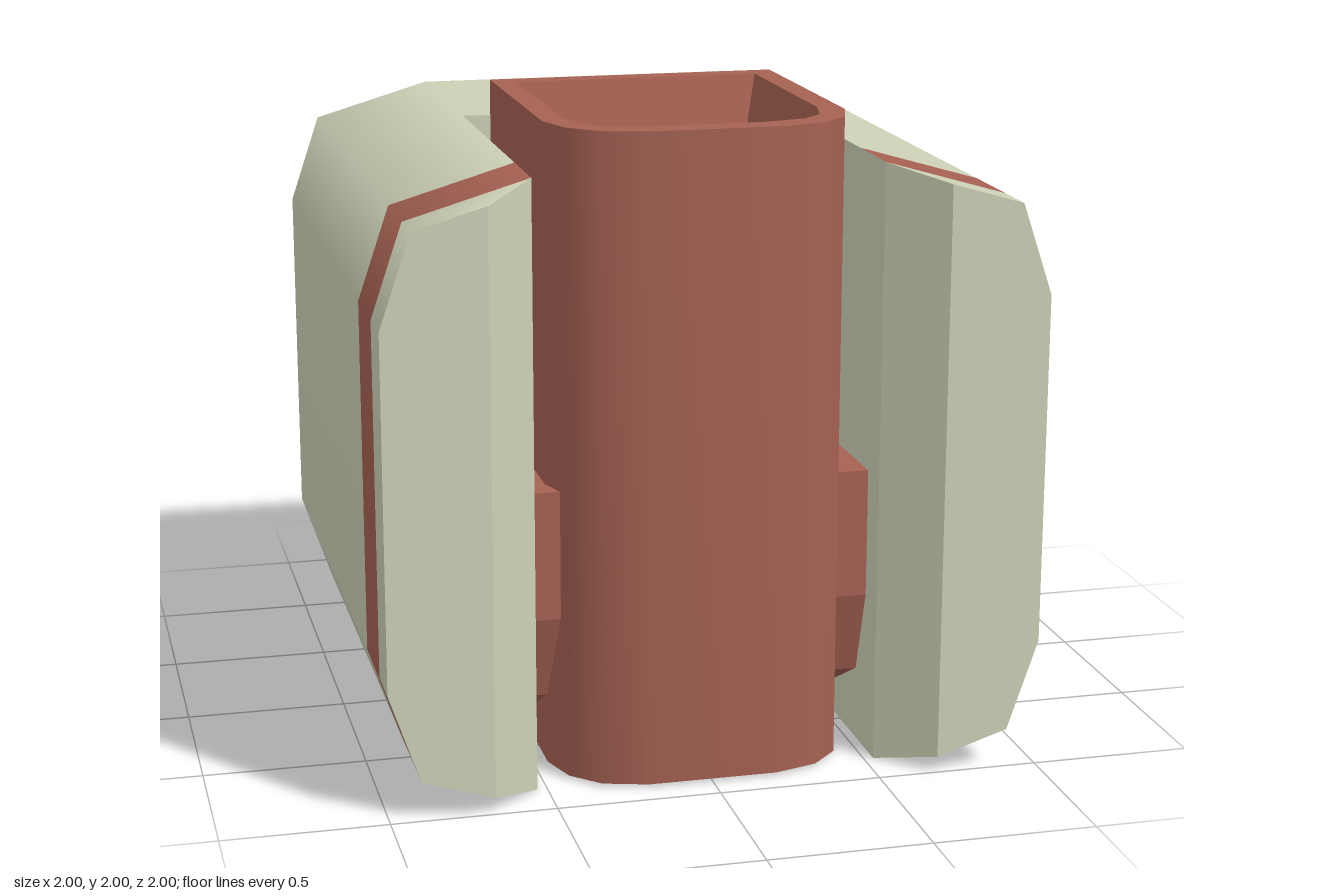
import * as THREE from 'three';
import { toCreasedNormals } from 'three/addons/utils/BufferGeometryUtils.js';

const paleGreen = new THREE.MeshStandardMaterial({ name: 'pale green', color: 0xcdd1b6 });
const brickRed = new THREE.MeshStandardMaterial({ name: 'brick red', color: 0xa56152 });

const SLOT = 0.53, SLOT_BACK = -0.26, CHAMFER_Z = 0.845, CHAMFER_X = 0.685;

function part(name, geometry, material, parent) {
  const mesh = new THREE.Mesh(geometry, material);
  mesh.name = name;
  parent.add(mesh);
  return mesh;
}

// Skin between successive rings of [x, y, z] points
function loft(rings, closed, normals) {
  const n = rings[0].length, index = [];
  for (let r = 0; r < rings.length - 1; r++) {
    for (let i = 0; i < (closed ? n : n - 1); i++) {
      const j = (i + 1) % n, a = r * n + i, b = r * n + j, c = a + n, d = b + n;
      index.push(a, c, d, a, d, b);
    }
  }
  const g = new THREE.BufferGeometry();
  g.setAttribute('position', new THREE.Float32BufferAttribute(rings.flat(2), 3));
  g.setIndex(index);
  if (normals) g.setAttribute('normal', new THREE.Float32BufferAttribute(rings.map(() => normals).flat(2), 3));
  else g.computeVertexNormals();
  return g;
}

const face = pts => new THREE.ShapeGeometry(new THREE.Shape(pts.map(p => new THREE.Vector2(p[0], p[1]))));
const atZ = (pts, z) => pts.map(p => [p[0], p[1], z]);

function createBody() {
  const body = new THREE.Group();
  body.name = 'body';

  // Outer cross-section, from the lower right corner over the top to the lower left
  const half = [[SLOT, 0], [0.905, 0.12], [1, 0.4], [1, 1.48], [0.905, 1.76], [SLOT, 1.87]];
  const outline = [...half, ...half.slice().reverse().map(([x, y]) => [-x, y])];
  const normals = outline.map((p, i) => {
    const a = outline[Math.max(i - 1, 0)], b = outline[Math.min(i + 1, outline.length - 1)];
    const v = new THREE.Vector3(b[1] - a[1], a[0] - b[0], 0).normalize();
    return [v.x, v.y, v.z];
  });

  // Rear block
  part('rearShell', loft([atZ(outline, SLOT_BACK), atZ(outline, -1)], false, normals), paleGreen, body);
  const back = part('backFace', face(outline), paleGreen, body);
  back.rotation.y = Math.PI;
  back.position.z = -1;
  const under = part('underside', new THREE.PlaneGeometry(2 * SLOT, 1 + SLOT_BACK), paleGreen, body);
  under.rotation.x = Math.PI / 2;
  under.position.z = (SLOT_BACK - 1) / 2;
  const slotWall = part('slotBackWall', new THREE.PlaneGeometry(2 * SLOT, 1.87), paleGreen, body);
  slotWall.position.set(0, 0.935, SLOT_BACK);

  // Two arms beside the slot
  for (const side of [1, -1]) {
    const arm = new THREE.Group();
    arm.name = side > 0 ? 'leftArm' : 'rightArm';
    body.add(arm);
    const from = side > 0 ? 0 : 6;
    const pts = outline.slice(from, from + 6), nrm = normals.slice(from, from + 6);
    const trimmed = pts.map(([x, y]) => Math.abs(x) === SLOT
      ? [side * CHAMFER_X, y > 1 ? 1.825 : 0.05] : [x, y]);

    part('armShell', loft([atZ(pts, 0.597), atZ(pts, SLOT_BACK)], false, nrm), paleGreen, arm);
    part('armStripe', loft([atZ(pts, CHAMFER_Z), atZ(pts, 0.597)], false, nrm), brickRed, arm);
    part('armTip', loft([atZ(trimmed, 1), atZ(pts, CHAMFER_Z)], false, nrm), paleGreen, arm);
    part('armFront', face(trimmed), paleGreen, arm).position.z = 1;

    // Last point to first point closes the inner side with its front chamfer
    const ends = [5, 0];
    const chamfer = [ends.map(i => [...trimmed[i], 1]), ends.map(i => [...pts[i], CHAMFER_Z])];
    part('innerChamfer', loft(chamfer, false), paleGreen, arm);
    const wall = [ends.map(i => [...pts[i], CHAMFER_Z]), ends.map(i => [...pts[i], SLOT_BACK])];
    part('innerWall', loft(wall, false), paleGreen, arm);
  }
  return body;
}

function createColumn() {
  const column = new THREE.Group();
  column.name = 'column';

  // Plan outlines as [x, z], mirrored from the right half
  const plan = h => [...h, ...h.slice().reverse().map(([x, z]) => [-x, z])];
  const outer = plan([[0.46, -0.155], [0.46, 0.66], [0.42, 0.785], [0.335, 0.87], [0.2, 0.91]]);
  const rim = plan([[0.39, -0.08], [0.39, 0.605], [0.358, 0.735], [0.295, 0.795], [0.17, 0.825]]);
  const floor = plan([[0.335, -0.01], [0.335, 0.6], [0.31, 0.71], [0.265, 0.76], [0.165, 0.785]]);
  const atY = (pts, y) => pts.map(([x, z]) => [x, y, z]);

  // Walls, rim and tapered recess
  const rings = [atY(outer, 0.01), atY(outer, 2), atY(rim, 2), atY(floor, 1.77)];
  part('columnWall', toCreasedNormals(loft(rings, true), 0.65), brickRed, column);
  const base = part('columnBase', face(outer), brickRed, column);
  base.rotation.x = Math.PI / 2;
  base.position.y = 0.01;
  const tray = part('recessFloor', face(floor.map(([x, z]) => [x, -z])), brickRed, column);
  tray.rotation.x = -Math.PI / 2;
  tray.position.y = 1.77;

  // Side guides with sloped lower fronts
  const profile = new THREE.Shape([[-0.11, 0.9], [-0.745, 0.9], [-0.745, 0.5], [-0.66, 0.23],
    [-0.45, 0.12], [-0.11, 0.12]].map(p => new THREE.Vector2(...p)));
  const guide = new THREE.ExtrudeGeometry(profile, { depth: 0.128, bevelEnabled: false });
  guide.rotateY(Math.PI / 2);
  part('leftGuide', guide, brickRed, column).position.x = 0.4;
  part('rightGuide', guide, brickRed, column).position.x = -0.528;
  return column;
}

export function createModel() {
  const model = new THREE.Group();
  model.name = 'model';
  model.add(createBody(), createColumn());
  return model;
}
